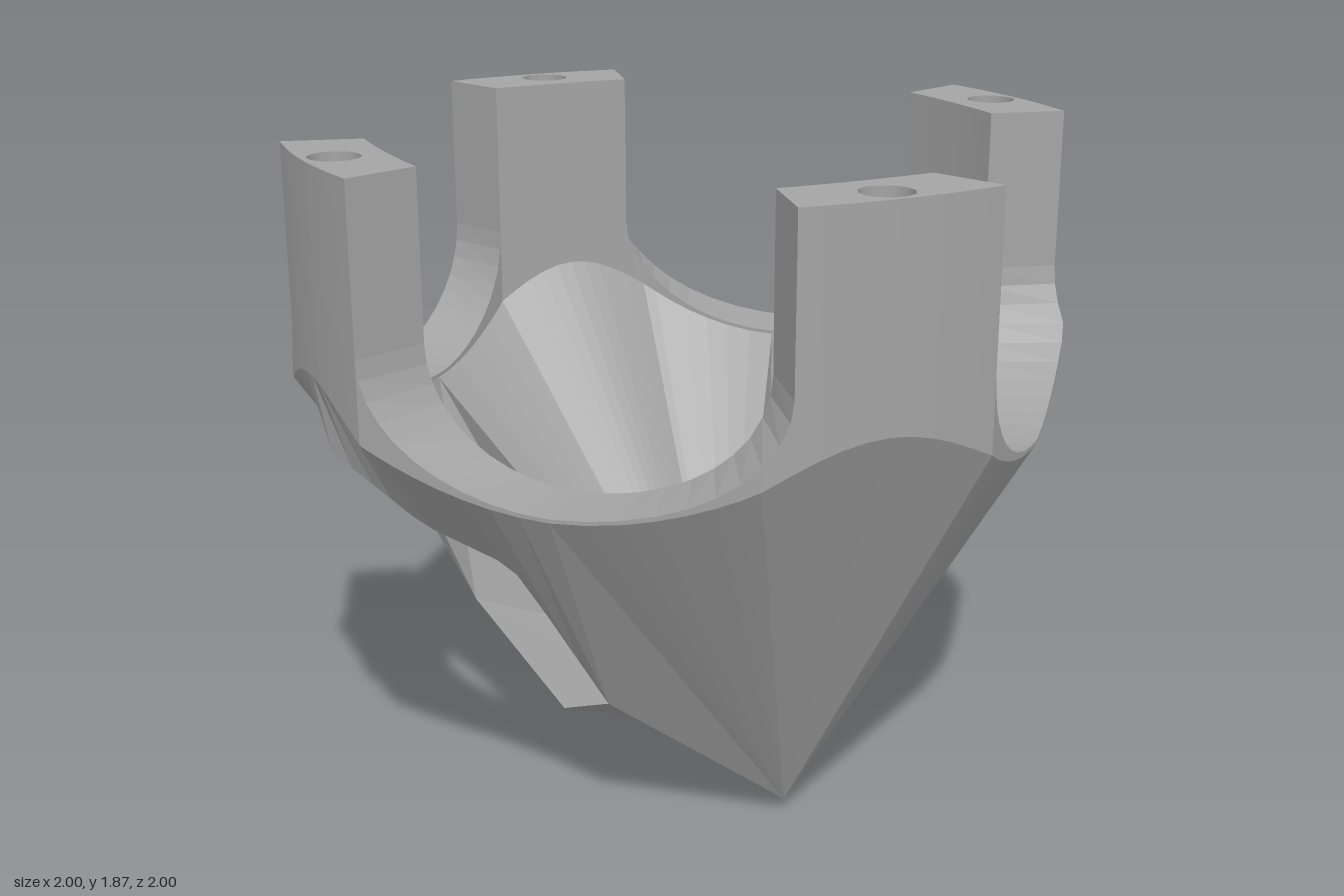
import * as THREE from 'three';

const ARC = 9, HALF = 10;         // segments per corner post and per half arch
const POST_TOP = 1.87, ARCH_END = 1.42;

// Quarter turns about the vertical axis
const turn = ([x, y, z], q) => {
  for (let k = 0; k < q; k++) [x, z] = [z, -x];
  return [x, y, z];
};

// Collects triangles, turning each one towards or away from a reference point
class Skin {
  constructor(ref, towards) { this.ref = new THREE.Vector3(...ref); this.sign = towards ? 1 : -1; this.pos = []; }
  tri(a, b, c) {
    const [A, B, C] = [a, b, c].map(p => new THREE.Vector3(...p));
    const n = B.clone().sub(A).cross(C.clone().sub(A));
    if (n.length() < 1e-7) return;
    const mid = A.clone().add(B).add(C).divideScalar(3);
    const ok = n.dot(this.ref.clone().sub(mid)) * this.sign >= 0;
    this.pos.push(...a, ...(ok ? b : c), ...(ok ? c : b));
  }
  quad(a, b, c, d) { this.tri(a, b, c); this.tri(a, c, d); }
  mesh(name, material) {
    const g = new THREE.BufferGeometry();
    g.setAttribute('position', new THREE.Float32BufferAttribute(this.pos, 3));
    g.computeVertexNormals();
    const m = new THREE.Mesh(g, material);
    m.name = name;
    return m;
  }
}

// Shallow curve across a corner, from one side to the next
const corner = (near, far, pull, t) => [
  near * (1 - t) ** 2 + 2 * pull * t * (1 - t) + far * t * t,
  far * (1 - t) ** 2 + 2 * pull * t * (1 - t) + near * t * t];

// One quarter of the rim, from the middle of one side to the middle of the next
function quarterRim() {
  const list = [], start = 0.13, straight = 0.88;
  const flat = u => ({ o: [0.52 * u, 1 - 0.025 * u], i: [0.43 * u, 0.795 - 0.015 * u * u], b: 1.07 + 0.13 * u * u });
  const bend = t => ({
    o: corner(0.52, 0.975, 0.79, t), i: corner(0.43, 0.78, 0.62, t), b: 1.2 + 0.1 * Math.sin(t * Math.PI),
  });
  const archHeight = s => 1.08 + (ARCH_END - 1.08) * (1 - Math.sqrt(1 - s * s));
  const steps = Array.from({ length: HALF + 1 }, (_, k) => Math.sin(k / HALF * Math.PI / 2));
  // This half arch runs a little way round the corner before it meets the post
  for (const s of steps) {
    const place = s < straight ? flat(s / straight) : bend(start * (s - straight) / (1 - straight));
    list.push({ ...place, h: archHeight(s), post: false });
  }
  for (let k = 0; k <= ARC; k++) list.push({ ...bend(start + (1 - start) * k / ARC), h: POST_TOP, post: true });
  for (const s of steps.reverse()) {
    const { o, i, b } = flat(s);
    list.push({ o: [o[1], o[0]], i: [i[1], i[0]], b, h: archHeight(s), post: false });
  }
  return list;
}

// Point on an outline at the bearing of p, held at the outline's ends
function atBearing(outline, p) {
  const angle = Math.atan2(p[0], p[1]);
  const angles = outline.map(v => Math.atan2(v[0], v[2]));
  let k = 0;
  while (k < outline.length - 2 && angles[k + 1] < angle) k++;
  const w = THREE.MathUtils.clamp((angle - angles[k]) / (angles[k + 1] - angles[k]), 0, 1);
  return outline[k].map((v, j) => v + (outline[k + 1][j] - v) * w);
}

export function createModel() {
  const group = new THREE.Group();
  const grey = new THREE.MeshStandardMaterial({ color: 0xa4a4a4, side: THREE.DoubleSide });
  grey.name = 'grey';

  const outer = new Skin([0, 0.9, 0], false);
  const inner = new Skin([0, 1.1, 0], true);
  const lip = new Skin([0, 0.4, 0], true);
  const rimTop = new Skin([0, 10, 0], true);
  const rim = quarterRim(), N = rim.length - 1;

  // Lowest points of the bowl
  const hub = [0.1, 0, -0.1], toeFront = [0.4, 0.04, 0.32], toeBack = [-0.45, 0.07, -0.35];
  const sill = [-0.23, 0.26, 0.41], floorEnd = [-0.42, 0.26, -0.16];
  const side = [[0, 0.42, 0.64], [0.62, 0.42, -0.01], [0.04, 0.42, -0.65], [-0.64, 0.42, 0.12]];

  // Upper edges of the corner windows, up to the peak on the diagonal
  const windows = {
    1: { out: [[0.2, 0.84, 0.78], [0.45, 0.92, 0.78], [0.745, 1.05, 0.745]],
      in: [[0.18, 0.84, 0.66], [0.41, 0.96, 0.69], [0.59, 1.1, 0.59]] },
    3: { out: [[0.2, 0.84, 0.78], [0.45, 0.93, 0.79], [0.745, 1.09, 0.745]],
      in: [[0.18, 0.82, 0.66], [0.41, 0.9, 0.69], [0.58, 0.94, 0.58]] },
  };
  const fullOutline = (half, q) => [turn(side[q], 4 - q), ...half,
    ...half.slice(0, -1).reverse().map(([x, y, z]) => [z, y, x]), turn(side[(q + 1) % 4], 4 - q)];

  for (let q = 0; q < 4; q++) {
    const at = (p, y) => turn([p[0], y, p[1]], q);
    const closed = q % 2 === 0, toe = q === 0 ? toeFront : toeBack;
    const [edgeOut, edgeIn] = closed ? [] : [windows[q].out, windows[q].in].map(half => {
      const outline = fullOutline(half, q);
      return rim.map(e => turn(atBearing(outline, e.o), q));
    });

    for (let k = 0; k < N; k++) {
      const e = rim[k], f = rim[k + 1];
      // Upright walls and arch tops
      outer.quad(at(e.o, e.b), at(f.o, f.b), at(f.o, f.h), at(e.o, e.h));
      inner.quad(at(e.i, e.b), at(f.i, f.b), at(f.i, f.h), at(e.i, e.h));
      if (!(e.post && f.post)) rimTop.quad(at(e.o, e.h), at(f.o, f.h), at(f.i, f.h), at(e.i, e.h));
      if (closed) {
        // Closed corners taper down to a toe
        outer.tri(at(e.o, e.b), at(f.o, f.b), toe);
        inner.tri(at(e.i, e.b), at(f.i, f.b), hub);
      } else {
        // Open corners stop at the window edge
        outer.quad(at(e.o, e.b), at(f.o, f.b), edgeOut[k + 1], edgeOut[k]);
        inner.quad(at(e.i, e.b), at(f.i, f.b), edgeIn[k + 1], edgeIn[k]);
        lip.quad(edgeOut[k], edgeOut[k + 1], edgeIn[k + 1], edgeIn[k]);
      }
    }

    // Flanks of the closed corners next to the windows
    if (closed) {
      for (const [s, r] of [[side[q], rim[0]], [side[q + 1], rim[N]]]) {
        outer.tri(toe, s, at(r.o, r.b));
        outer.tri(hub, toe, s);
        if (s === side[3]) {
          inner.tri(hub, floorEnd, at(r.i, r.b));
          inner.tri(floorEnd, s, at(r.i, r.b));
        } else inner.tri(hub, s, at(r.i, r.b));
      }
    }

    // Post cap with a screw hole
    const arc = rim.filter(e => e.post);
    const path = [...arc.map(e => at(e.o, 0)), ...arc.map(e => at(e.i, 0)).reverse()];
    const shape = new THREE.Shape(path.map(p => new THREE.Vector2(p[0], -p[2])));
    const c = turn([0.73, 0, 0.685], q), ring = [];
    for (let k = 0; k < 12; k++) {
      const a = k / 12 * Math.PI * 2;
      ring.push(new THREE.Vector2(c[0] + 0.07 * Math.sin(a), -c[2] + 0.07 * Math.cos(a)));
    }
    shape.holes.push(new THREE.Path(ring));
    const cap = new THREE.Mesh(new THREE.ShapeGeometry(shape).rotateX(-Math.PI / 2), grey);
    cap.position.y = POST_TOP;
    cap.name = 'postCap';
    const wall = new THREE.Mesh(new THREE.CylinderGeometry(0.07, 0.07, 0.3, 12, 1, true), grey);
    wall.position.set(c[0], POST_TOP - 0.15, c[2]);
    wall.name = 'screwHole';
    const floor = new THREE.Mesh(new THREE.CircleGeometry(0.07, 12).rotateX(-Math.PI / 2), grey);
    floor.position.set(c[0], POST_TOP - 0.3, c[2]);
    floor.name = 'screwHoleFloor';
    group.add(cap, wall, floor);
  }

  // Floor behind the front window sill and the face below it
  outer.tri(hub, sill, toeBack);
  outer.tri(toeBack, sill, side[3]);
  inner.tri(hub, sill, side[3]);
  inner.tri(hub, side[3], floorEnd);
  inner.tri(hub, sill, side[0]);

  group.add(outer.mesh('bowlOutside', grey), inner.mesh('bowlInside', grey),
    lip.mesh('windowEdges', grey), rimTop.mesh('archTops', grey));
  return group;
}
